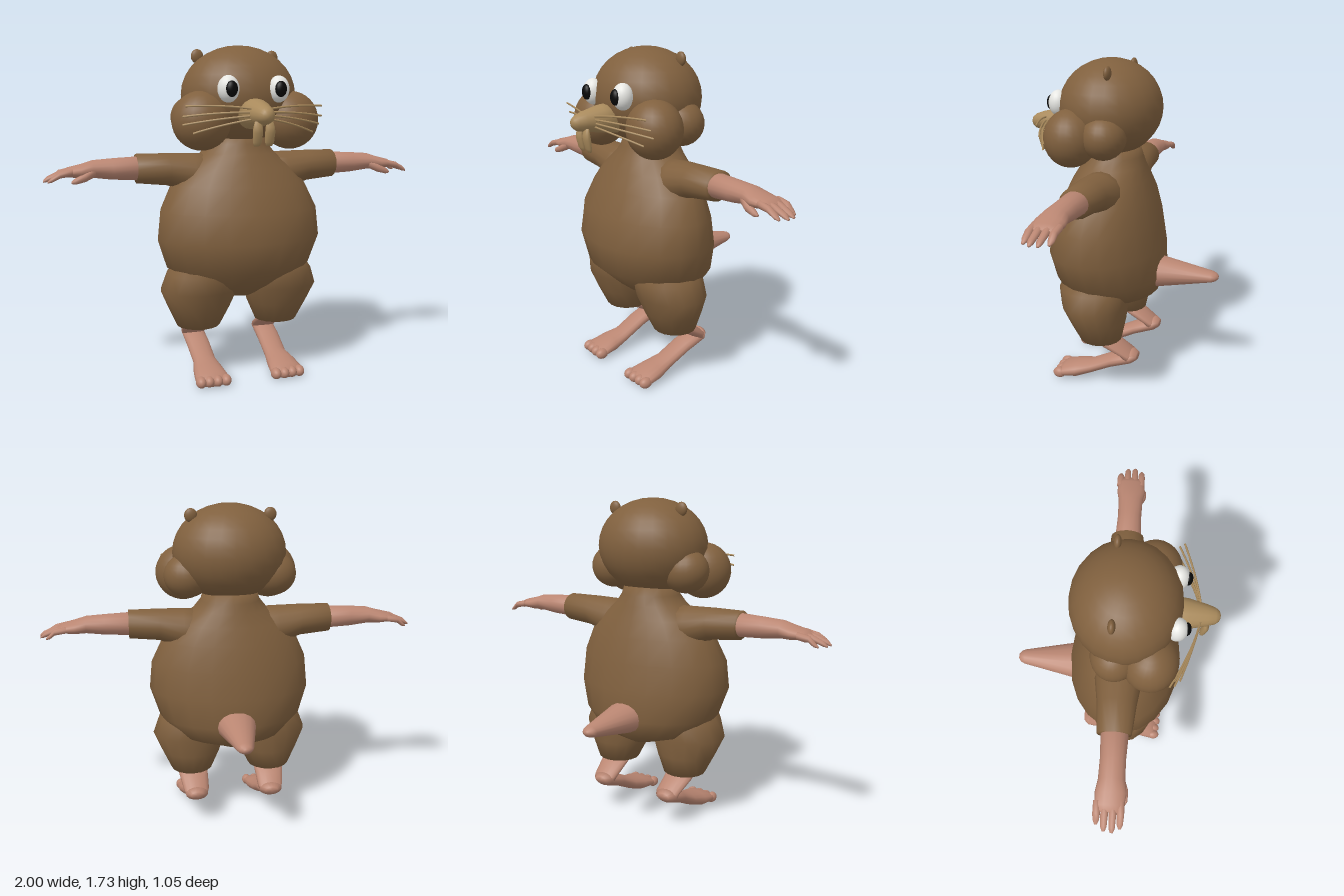
import * as THREE from 'three';

const material = (name, color) => {
  const m = new THREE.MeshStandardMaterial({ color });
  m.name = name;
  return m;
};

// Smooth capped skin through elliptical rings [t, a, b, ra, rb], t increasing.
// Axis x: (t,a,b) = (x,y,z); axis y: (y,z,x); axis z: (z,x,y).
function loft(axis, rings, n = 16) {
  const pos = [], index = [];
  const put = (t, a, b) => {
    if (axis === 'x') pos.push(t, a, b);
    else if (axis === 'y') pos.push(b, t, a);
    else pos.push(a, b, t);
  };
  for (const [t, a, b, ra, rb] of rings) {
    for (let j = 0; j < n; j++) {
      const w = (j / n) * Math.PI * 2;
      put(t, a + ra * Math.cos(w), b + rb * Math.sin(w));
    }
  }
  for (let i = 0; i < rings.length - 1; i++) {
    for (let j = 0; j < n; j++) {
      const p = i * n + j, q = i * n + ((j + 1) % n);
      index.push(p, q, q + n, p, q + n, p + n);
    }
  }
  const last = (rings.length - 1) * n, c0 = rings.length * n;
  put(...rings[0].slice(0, 3));
  put(...rings[rings.length - 1].slice(0, 3));
  for (let j = 0; j < n; j++) {
    const k = (j + 1) % n;
    index.push(c0, k, j, c0 + 1, last + j, last + k);
  }
  const g = new THREE.BufferGeometry();
  g.setAttribute('position', new THREE.Float32BufferAttribute(pos, 3));
  g.setIndex(index);
  g.computeVertexNormals();
  return g;
}

const ball = (x, y, z, rx, ry, rz) =>
  new THREE.SphereGeometry(1, 24, 16).scale(rx, ry, rz).translate(x, y, z);

// Reflected copy across x = 0 with corner order restored
function mirrored(geo) {
  const g = geo.clone().scale(-1, 1, 1);
  const ix = g.index.array;
  for (let i = 0; i < ix.length; i += 3) [ix[i], ix[i + 1]] = [ix[i + 1], ix[i]];
  g.computeVertexNormals();
  return g;
}

export function createModel() {
  const model = new THREE.Group();
  model.name = 'whiskeredRodent';
  const fur = material('brown fur', 0x80603e);
  const skin = material('pink skin', 0xba8672);
  const tan = material('tan nose and teeth', 0xa98a5c);
  const white = material('eye white', 0xe6e6e2);
  const black = material('pupil black', 0x080808);

  const add = (name, geo, mat) => {
    const mesh = new THREE.Mesh(geo, mat);
    mesh.name = name;
    model.add(mesh);
  };
  const pair = (name, geo, mat) => {
    add(name + 'Left', geo, mat);
    add(name + 'Right', mirrored(geo), mat);
  };

  // Torso
  add('body', loft('y', [
    [0.44, 0.04, 0, 0.13, 0.09],
    [0.50, 0.03, 0, 0.22, 0.28],
    [0.60, 0.068, 0, 0.292, 0.39],
    [0.75, 0.088, 0, 0.302, 0.44],
    [0.90, 0.088, 0, 0.278, 0.425],
    [1.03, 0.075, 0, 0.235, 0.365],
    [1.12, 0.07, 0, 0.2, 0.29],
    [1.19, 0.06, 0, 0.17, 0.2],
    [1.24, 0.055, 0, 0.15, 0.16],
    [1.30, 0.055, 0, 0.13, 0.14],
  ], 20), fur);

  // Head, cheeks and ears
  add('head', ball(0, 1.49, 0.075, 0.3, 0.25, 0.268), fur);
  pair('cheek', ball(0.235, 1.362, 0.205, 0.15, 0.148, 0.137), fur);
  pair('backCheek', ball(0.225, 1.375, 0.035, 0.125, 0.115, 0.115), fur);
  pair('ear', ball(0.205, 1.685, 0.02, 0.033, 0.036, 0.018), fur);

  // Eyes
  pair('eye', ball(0.13, 1.517, 0.315, 0.054, 0.066, 0.05), white);
  pair('pupil', ball(0.126, 1.517, 0.356, 0.03, 0.039, 0.022), black);

  // Snout and front teeth
  add('snout', loft('z', [
    [0.28, 0, 1.40, 0.082, 0.08],
    [0.37, 0, 1.40, 0.074, 0.068],
    [0.46, 0, 1.395, 0.053, 0.05],
    [0.50, 0, 1.392, 0.04, 0.039],
    [0.518, 0, 1.392, 0.026, 0.025],
    [0.524, 0, 1.392, 0.01, 0.01],
  ]), tan);
  pair('tooth', loft('y', [
    [1.247, 0.447, 0.031, 0.006, 0.015],
    [1.265, 0.453, 0.031, 0.013, 0.023],
    [1.31, 0.461, 0.031, 0.018, 0.026],
    [1.335, 0.463, 0.031, 0.016, 0.024],
    [1.365, 0.46, 0.028, 0.01, 0.018],
  ], 12), tan);

  // Whiskers: [tip x, tip y, tip z, root y]
  const whiskers = [[0.35, 1.435, 0.34, 1.42], [0.36, 1.385, 0.32, 1.405],
    [0.355, 1.345, 0.30, 1.39], [0.31, 1.305, 0.325, 1.375]];
  whiskers.forEach(([x, y, z, root], i) => {
    const curve = new THREE.QuadraticBezierCurve3(
      new THREE.Vector3(0.03, root, 0.43),
      new THREE.Vector3(0.17, (root + y) / 2 + 0.015, 0.405),
      new THREE.Vector3(x, y, z));
    pair('whisker' + (i + 1), new THREE.TubeGeometry(curve, 10, 0.005, 6), tan);
  });

  // Arms: furry sleeve, bare forearm and palm
  pair('sleeve', loft('x', [
    [0.12, 1.07, 0.06, 0.12, 0.12],
    [0.25, 1.085, 0.06, 0.108, 0.12],
    [0.38, 1.112, 0.06, 0.083, 0.1],
    [0.54, 1.12, 0.057, 0.075, 0.086],
  ]), fur);
  pair('forearm', loft('x', [
    [0.50, 1.122, 0.06, 0.062, 0.07],
    [0.66, 1.122, 0.06, 0.054, 0.063],
    [0.76, 1.125, 0.06, 0.044, 0.065],
    [0.82, 1.115, 0.06, 0.035, 0.076],
    [0.88, 1.112, 0.057, 0.024, 0.07],
    [0.91, 1.106, 0.055, 0.012, 0.055],
  ]), skin);

  // Fingers and thumb
  [[-0.002, 0.965], [0.036, 0.995], [0.075, 1.0], [0.112, 0.98]].forEach(([z, tip], i) => {
    pair('finger' + (i + 1), loft('x', [
      [0.86, 1.115, z, 0.018, 0.019],
      [0.92, 1.104, z, 0.016, 0.019],
      [tip - 0.02, 1.082, z, 0.013, 0.016],
      [tip, 1.071, z, 0.005, 0.007],
    ], 10), skin);
  });
  pair('thumb', loft('x', [
    [0.75, 1.112, 0.105, 0.022, 0.018],
    [0.80, 1.09, 0.123, 0.022, 0.02],
    [0.85, 1.073, 0.128, 0.016, 0.015],
    [0.868, 1.067, 0.126, 0.006, 0.006],
  ], 10), skin);

  // Legs: furry thigh, bare shin and long foot
  pair('thigh', loft('y', [
    [0.275, 0.06, 0.22, 0.112, 0.115],
    [0.38, 0.075, 0.22, 0.148, 0.165],
    [0.48, 0.09, 0.222, 0.175, 0.207],
    [0.57, 0.1, 0.21, 0.185, 0.185],
    [0.64, 0.1, 0.2, 0.15, 0.15],
  ], 16), fur);
  pair('shin', loft('y', [
    [0.17, -0.10, 0.208, 0.03, 0.06],
    [0.20, -0.085, 0.208, 0.05, 0.07],
    [0.25, 0.0, 0.215, 0.06, 0.08],
    [0.31, 0.08, 0.22, 0.07, 0.09],
  ]), skin);
  pair('foot', loft('z', [
    [-0.143, 0.208, 0.186, 0.035, 0.02],
    [-0.115, 0.208, 0.183, 0.062, 0.038],
    [0.0, 0.205, 0.14, 0.063, 0.038],
    [0.12, 0.202, 0.08, 0.062, 0.038],
    [0.20, 0.205, 0.057, 0.08, 0.046],
    [0.27, 0.205, 0.044, 0.09, 0.035],
    [0.305, 0.205, 0.036, 0.08, 0.024],
  ]), skin);
  [0.138, 0.183, 0.228, 0.27].forEach((x, i) =>
    pair('toe' + (i + 1), ball(x, 0.038, 0.292 + (i === 0 || i === 1 ? 0.004 : 0), 0.027, 0.029, 0.036), skin));

  // Tail
  add('tail', loft('z', [
    [-0.524, 0, 0.614, 0.014, 0.01],
    [-0.512, 0, 0.614, 0.032, 0.022],
    [-0.49, 0, 0.614, 0.043, 0.03],
    [-0.22, 0, 0.61, 0.1, 0.08],
    [-0.15, 0, 0.61, 0.112, 0.09],
  ]), skin);

  return model;
}
